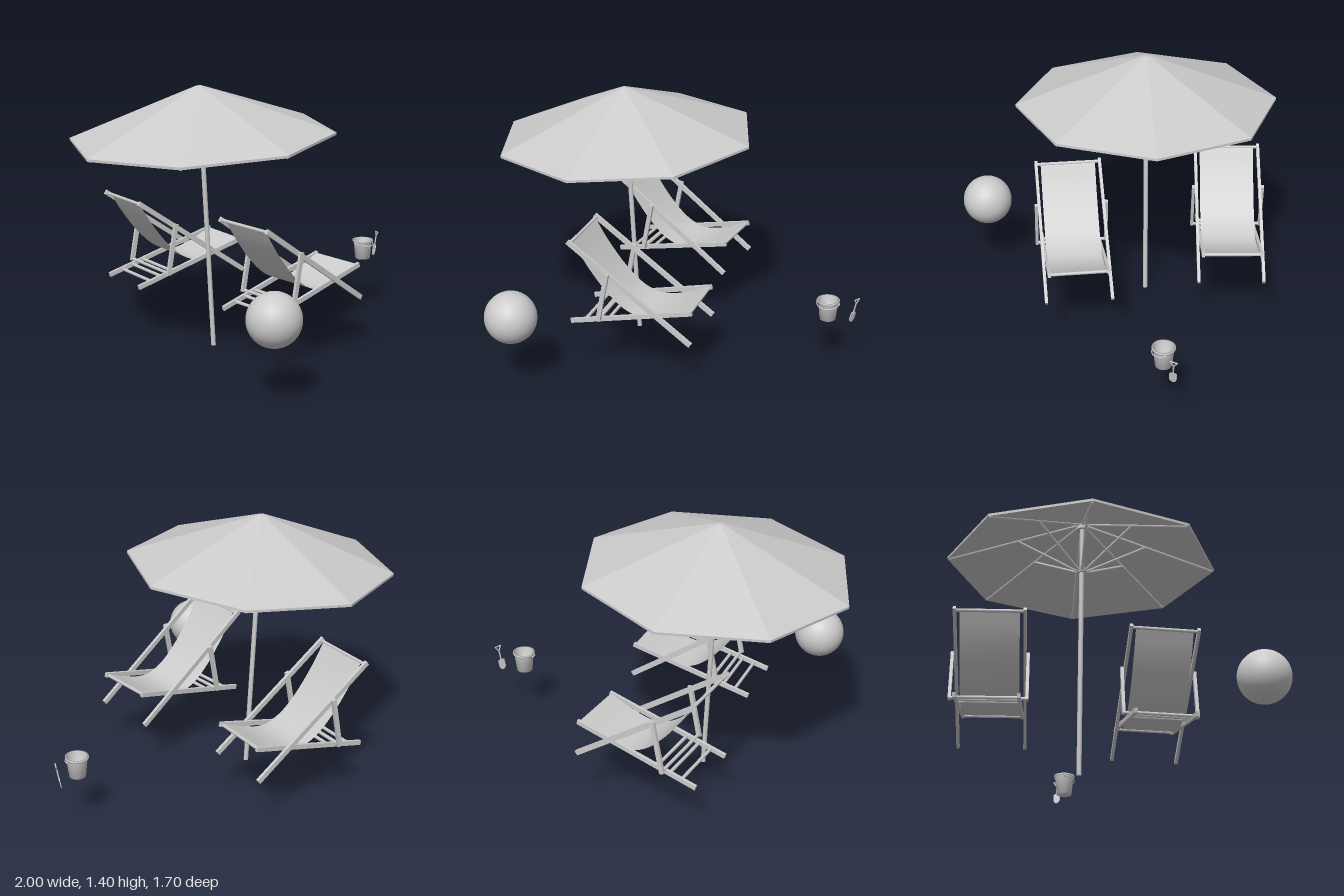
import * as THREE from 'three';

const grey = new THREE.MeshStandardMaterial({ color: 0xcccccc });
const flat = new THREE.MeshStandardMaterial({ color: 0xcccccc, flatShading: true });
const thin = new THREE.MeshStandardMaterial({ color: 0xcccccc, side: THREE.DoubleSide });
const V = (x, y, z = 0) => new THREE.Vector3(x, y, z);

function add(parent, name, geometry, material = grey) {
  const mesh = new THREE.Mesh(geometry, material);
  mesh.name = name;
  parent.add(mesh);
  return mesh;
}

// Round rod between two points
function rod(parent, name, a, b, r, sides = 8) {
  const mesh = add(parent, name, new THREE.CylinderGeometry(r, r, a.distanceTo(b), sides));
  mesh.position.copy(a).lerp(b, 0.5);
  mesh.quaternion.setFromUnitVectors(V(0, 1), b.clone().sub(a).normalize());
  return mesh;
}

// Mirrored pair of square timbers lying in the chair's side plane
function timberPair(parent, name, a, b, z, height) {
  for (const side of [-1, 1]) {
    const mesh = add(parent, name, new THREE.BoxGeometry(a.distanceTo(b), height, 0.016), flat);
    mesh.position.copy(a).lerp(b, 0.5).setZ(side * z);
    mesh.rotation.z = Math.atan2(b.y - a.y, b.x - a.x);
  }
}

function parasol() {
  const g = new THREE.Group();
  g.name = 'parasol';
  rod(g, 'pole', V(0, 0), V(0, 1.39), 0.0125, 16);

  // Eight-sided canopy, thin and closed at the rim
  const profile = [[0, 1.374], [0.68, 1.137], [0.69, 1.134], [0.69, 1.147], [0.018, 1.403], [0, 1.405]];
  add(g, 'canopy', new THREE.LatheGeometry(profile.map(p => new THREE.Vector2(...p)), 8),
    new THREE.MeshStandardMaterial({ color: 0xcccccc, flatShading: true, side: THREE.DoubleSide }));

  const collar = add(g, 'slidingCollar', new THREE.CylinderGeometry(0.032, 0.024, 0.022, 16));
  collar.position.y = 1.1;
  const crown = add(g, 'topCollar', new THREE.CylinderGeometry(0.03, 0.03, 0.025, 16));
  crown.position.y = 1.35;

  // Ribs along the seams, with a stay from the collar to each
  for (let i = 0; i < 8; i++) {
    const c = Math.cos(i * Math.PI / 4), s = Math.sin(i * Math.PI / 4);
    const at = (r, y) => V(r * c, y, r * s);
    rod(g, 'rib', at(0.02, 1.362), at(0.68, 1.134), 0.007, 6);
    rod(g, 'stay', at(0.025, 1.1), at(0.33, 1.253), 0.006, 6);
  }
  g.position.set(-0.25, 0, -0.16);
  g.rotation.z = 0.055;
  return g;
}

function deckChair(x, z, yaw) {
  const g = new THREE.Group();
  g.name = 'deckChair';
  timberPair(g, 'backRail', V(-0.335, 0.762), V(0.332, 0.293), 0.173, 0.026);
  timberPair(g, 'seatRail', V(-0.335, 0.297), V(0.332, 0.467), 0.154, 0.024);
  timberPair(g, 'propLeg', V(-0.168, 0.345), V(-0.115, 0.622), 0.189, 0.024);

  // Crossbars: x, y, half width
  const bars = [[-0.322, 0.754, 0.18], [0.318, 0.462, 0.16], [-0.165, 0.353, 0.195],
    [-0.12, 0.352, 0.155], [-0.19, 0.334, 0.155], [-0.255, 0.318, 0.155]];
  for (const [bx, by, w] of bars) rod(g, 'crossbar', V(bx, by, -w), V(bx, by, w), 0.009);

  // Sagging cloth sling
  const curve = new THREE.CatmullRomCurve3([V(-0.322, 0.764), V(-0.25, 0.645), V(-0.14, 0.505),
    V(-0.04, 0.42), V(0.06, 0.387), V(0.18, 0.41), V(0.318, 0.472)]);
  const cloth = new THREE.PlaneGeometry(1, 0.296, 24, 1);
  const pos = cloth.attributes.position;
  for (let i = 0; i < pos.count; i++) {
    const p = curve.getPoint(pos.getX(i) + 0.5);
    pos.setXYZ(i, p.x, p.y, -pos.getY(i));
  }
  cloth.computeVertexNormals();
  add(g, 'slingCloth', cloth, thin);

  g.position.set(x, 0, z);
  g.rotation.y = yaw;
  return g;
}

function bucket() {
  const g = new THREE.Group();
  g.name = 'bucket';
  const wall = [[0, 0], [0.042, 0], [0.053, 0.1], [0.059, 0.1], [0.059, 0.11], [0.051, 0.11], [0.04, 0.006], [0, 0.006]];
  add(g, 'pail', new THREE.LatheGeometry(wall.map(p => new THREE.Vector2(...p)), 28), thin);

  // Handle folded down against the front
  const handle = add(g, 'pailHandle', new THREE.TorusGeometry(0.06, 0.003, 6, 24, Math.PI));
  handle.position.y = 0.094;
  handle.rotation.x = Math.PI / 2 + 0.25;
  for (const side of [-1, 1]) {
    const ear = add(g, 'handleEar', new THREE.SphereGeometry(0.007, 10, 8));
    ear.position.set(side * 0.058, 0.094, 0);
  }
  g.position.set(0.838, 0.29, -0.165);
  return g;
}

function spade() {
  const g = new THREE.Group();
  g.name = 'spade';
  const s = new THREE.Shape();
  s.moveTo(-0.019, 0.056);
  s.lineTo(-0.019, 0.02);
  s.quadraticCurveTo(-0.015, 0.004, 0, 0);
  s.quadraticCurveTo(0.015, 0.004, 0.019, 0.02);
  s.lineTo(0.019, 0.056);
  s.lineTo(0.005, 0.064);
  s.lineTo(-0.005, 0.064);
  const blade = new THREE.ExtrudeGeometry(s, { depth: 0.005, bevelEnabled: false, curveSegments: 6 });
  blade.translate(0, 0, -0.0025);
  add(g, 'spadeBlade', blade, flat);
  rod(g, 'spadeShaft', V(0, 0.05), V(0, 0.115), 0.004);
  // Triangular grip
  const l = V(-0.018, 0.14), r = V(0.018, 0.14), base = V(0, 0.112);
  rod(g, 'spadeGrip', base, l, 0.0035);
  rod(g, 'spadeGrip', base, r, 0.0035);
  rod(g, 'spadeGrip', l, r, 0.0035);
  g.rotation.set(0, 1.15, -0.2, 'ZYX');
  g.position.set(0.955, 0.277, -0.2);
  return g;
}

export function createModel() {
  const model = new THREE.Group();
  model.name = 'beachSet';
  model.add(parasol());
  model.add(deckChair(-0.045, 0.243, 0.055));
  model.add(deckChair(-0.17, -0.605, -0.055));
  const ball = add(model, 'beachBall', new THREE.SphereGeometry(0.135, 40, 28));
  ball.position.set(-0.555, 0.425, 0.715);
  model.add(bucket(), spade());
  return model;
}
